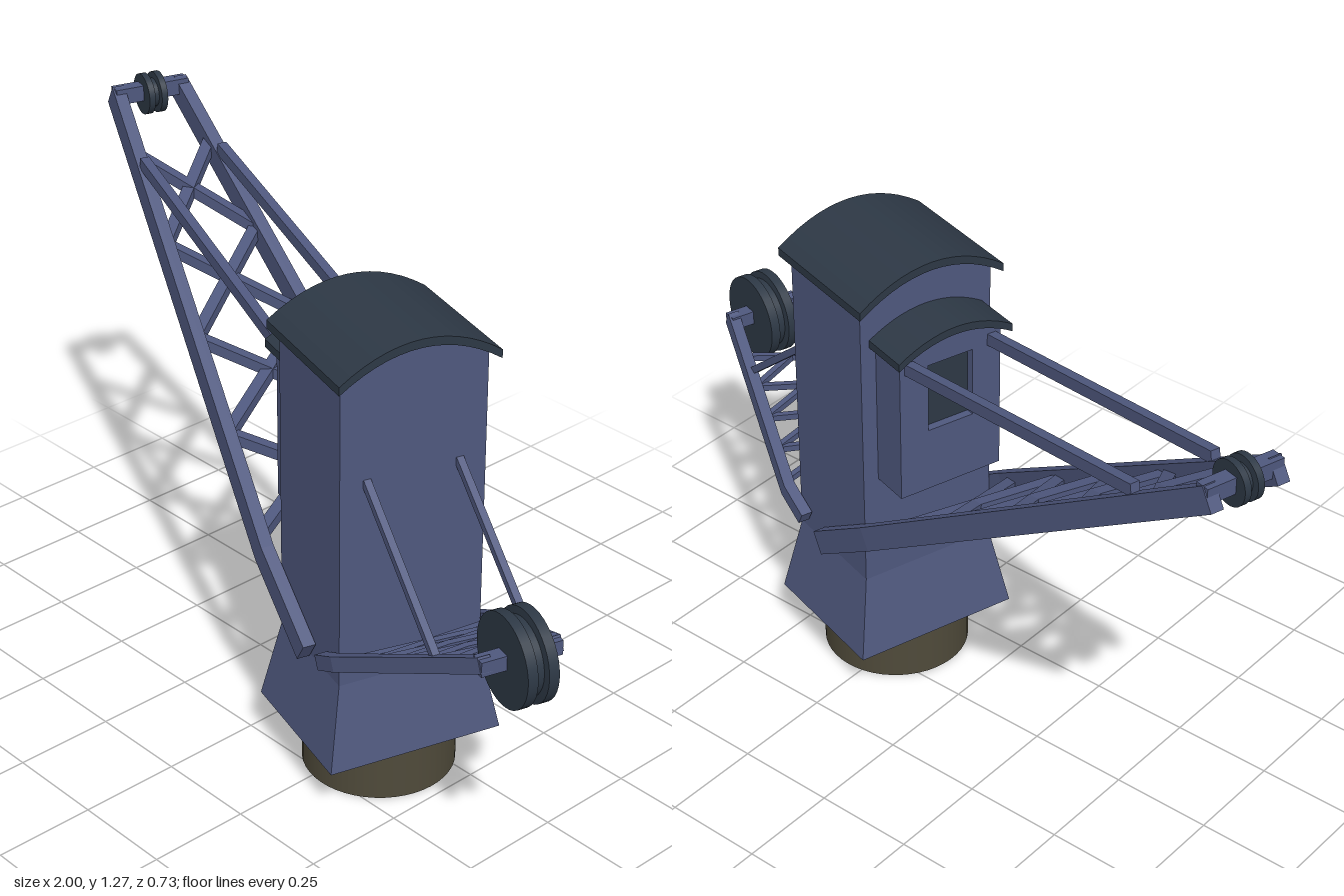
import * as THREE from 'three';

export function createModel() {
  const model = new THREE.Group();
  model.name = 'towerCrane';
  const paint = (name, color) => Object.assign(new THREE.MeshStandardMaterial({ color }), { name });
  const blue = paint('slateBlue', 0x4f587e);
  const dark = paint('darkSlate', 0x2d3845);
  const brown = paint('baseBrown', 0x4f4a3a);

  // local frame: +x towards the counterweight, -x towards the boom tip
  const crane = new THREE.Group();
  crane.name = 'crane';
  crane.position.set(0.287, 0, 0.097);
  crane.rotation.y = -THREE.MathUtils.degToRad(16);
  model.add(crane);

  const add = (name, geo, mat, x = 0, y = 0, z = 0) => {
    const m = new THREE.Mesh(geo, mat);
    m.name = name;
    m.position.set(x, y, z);
    crane.add(m);
    return m;
  };

  // straight bar between two points, w wide and h tall
  const bar = (name, a, b, w, h, mat = blue) => {
    const p = new THREE.Vector3(...a), q = new THREE.Vector3(...b);
    const g = new THREE.BoxGeometry(w, h, p.distanceTo(q));
    const o = new THREE.Object3D();
    o.position.copy(p).add(q).multiplyScalar(0.5);
    o.lookAt(q);
    o.updateMatrix();
    return add(name, g.applyMatrix4(o.matrix), mat);
  };

  // points of a shallow arch from -w to +w
  const arch = (w, spring, rise, n = 14) => Array.from({ length: n + 1 }, (_, i) => {
    const t = -1 + 2 * i / n;
    return new THREE.Vector2(t * w, spring + rise * (1 - t * t));
  });

  // extrude a cross-section along local x from x0 to x1
  const extrudeX = (name, shape, x0, x1, mat) => {
    const g = new THREE.ExtrudeGeometry(shape, { depth: x1 - x0, bevelEnabled: false });
    g.rotateY(Math.PI / 2);
    return add(name, g, mat, x0);
  };

  const house = (w, bottom, spring, rise) => new THREE.Shape([
    new THREE.Vector2(w, bottom), new THREE.Vector2(-w, bottom), ...arch(w, spring, rise)]);
  const roof = (w, spring, rise, t) => new THREE.Shape([
    ...arch(w, spring, rise), ...arch(w, spring + t, rise).reverse()]);

  // round base and flared skirt
  add('base', new THREE.CylinderGeometry(0.183, 0.183, 0.13, 48), brown, 0, 0.065, 0);
  const skirt = new THREE.BoxGeometry(2, 1, 2);
  const sp = skirt.attributes.position;
  for (let i = 0; i < sp.count; i++) {
    const top = sp.getY(i) > 0;
    sp.setXYZ(i, sp.getX(i) * (top ? 0.149 : 0.187), top ? 0.335 : 0.125, sp.getZ(i) * (top ? 0.181 : 0.22));
  }
  skirt.computeVertexNormals();
  add('skirt', skirt, blue);

  // tower house and arched roof
  extrudeX('tower', house(0.181, 0.33, 1.105, 0.057), -0.149, 0.149, blue);
  extrudeX('towerRoof', roof(0.198, 1.094, 0.07, 0.021), -0.178, 0.178, dark);

  // operator cab with a recessed window
  const cab = house(0.14, 0.62, 1.002, 0.035);
  cab.holes.push(new THREE.Path([[-0.062, 0.785], [0.062, 0.785], [0.062, 0.965], [-0.062, 0.965]]
    .map(p => new THREE.Vector2(...p))));
  extrudeX('cab', cab, -0.25, -0.14, blue);
  add('cabWindow', new THREE.BoxGeometry(0.008, 0.18, 0.124), dark, -0.225, 0.875, 0);
  extrudeX('cabRoof', roof(0.157, 0.994, 0.048, 0.02), -0.275, -0.14, dark);

  // bent side girder: box stations follow [x, y, z] points
  const girder = (name, pts, side, w, h) => {
    const n = pts.length - 1;
    const first = pts[0], last = pts[n];
    const dir = new THREE.Vector2(last[0] - first[0], last[1] - first[1]).normalize();
    if (dir.x < 0) dir.negate();
    const g = new THREE.BoxGeometry(n, 1, 1, n, 1, 1).toNonIndexed();
    const pos = g.attributes.position;
    const order = first[0] < last[0] ? pts : [...pts].reverse();
    for (let i = 0; i < pos.count; i++) {
      const s = order[Math.round(pos.getX(i) + n / 2)];
      const dy = pos.getY(i) * h;
      pos.setXYZ(i, s[0] - dir.y * dy, s[1] + dir.x * dy, s[2] * side + pos.getZ(i) * w);
    }
    g.computeVertexNormals();
    add(name, g, blue);
  };

  // crossed bracing between the two girders, from point a to point b
  const lattice = (name, a, b, panels, w, h) => {
    const at = (t, side) => [0, 1, 2].map(k => THREE.MathUtils.lerp(a[k], b[k], t) * (k === 2 ? side : 1));
    for (let i = 0; i < panels; i++) {
      for (const side of [-1, 1]) {
        bar(name, at(i / panels, side), at((i + 1) / panels, -side), w, h);
      }
    }
  };

  const boom = [[0.02, 0.357, 0.2], [-0.2, 0.502, 0.2], [-1.3, 1.225, 0.085]];
  const jib = [[0.1, 0.38, 0.2], [0.18, 0.422, 0.2], [0.63, 0.655, 0.085]];
  for (const side of [-1, 1]) {
    girder('boomGirder', boom, side, 0.032, 0.06);
    girder('jibGirder', jib, side, 0.03, 0.036);
    // stays
    bar('boomStay', [-0.24, 0.975, 0.115 * side], [-1.08, 1.125, 0.105 * side], 0.024, 0.03);
    bar('jibStay', [0.145, 0.85, 0.115 * side], [0.48, 0.58, 0.115 * side], 0.018, 0.018);
  }
  lattice('boomBrace', [-0.24, 0.528, 0.19], [-1.14, 1.12, 0.1], 4, 0.03, 0.026);
  lattice('jibBrace', [0.2, 0.432, 0.19], [0.52, 0.598, 0.11], 4, 0.016, 0.016);
  bar('boomCrossbar', [-1.28, 1.228, -0.098], [-1.28, 1.228, 0.098], 0.036, 0.04);
  bar('jibCrossbar', [0.62, 0.648, -0.098], [0.62, 0.648, 0.098], 0.036, 0.036);

  // grooved wheel turned about the cross axis
  const wheel = (name, r, w, groove, x, y) => {
    const h = w / 2;
    const profile = [[0, -h], [r, -h], [r, -h * 0.35], [groove, -h * 0.3],
      [groove, h * 0.3], [r, h * 0.35], [r, h], [0, h]];
    const flat = [];
    // doubled points keep the rim edges crisp
    profile.forEach(([px, py], i) => {
      flat.push(new THREE.Vector2(px, py));
      if (i > 0 && i < profile.length - 1) flat.push(new THREE.Vector2(px, py));
    });
    const g = new THREE.LatheGeometry(flat, 36);
    g.rotateX(Math.PI / 2);
    add(name, g, dark, x, y, 0);
  };
  wheel('tipPulley', 0.052, 0.05, 0.036, -1.275, 1.222);
  wheel('counterweight', 0.108, 0.075, 0.09, 0.618, 0.643);

  return model;
}
